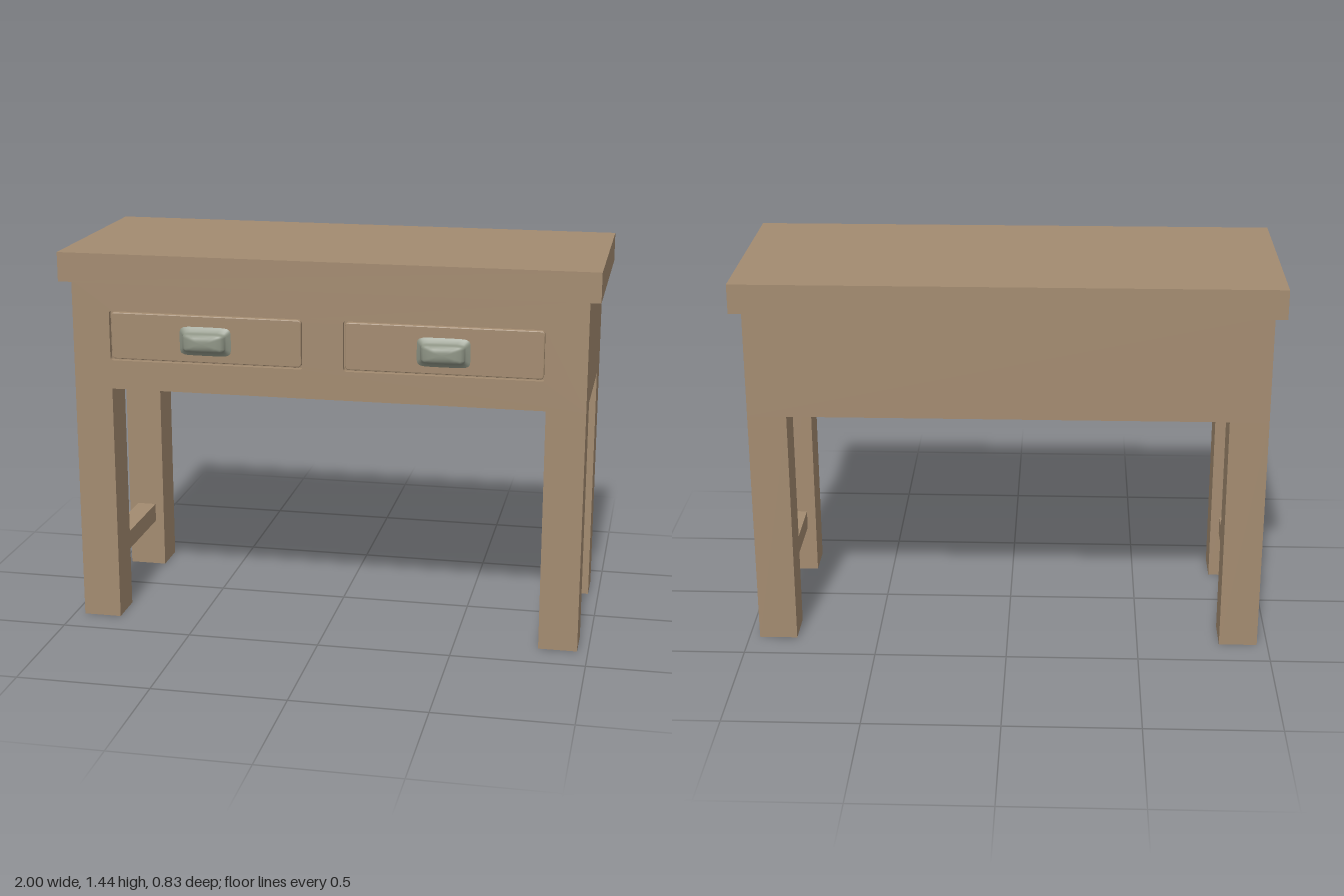
import * as THREE from 'three';

const wood = new THREE.MeshStandardMaterial({ color: 0xa38b70 });
const metal = new THREE.MeshStandardMaterial({ color: 0x8f9586 });

// Box given by its min and max corners
function box(name, [x0, y0, z0], [x1, y1, z1]) {
  const mesh = new THREE.Mesh(new THREE.BoxGeometry(x1 - x0, y1 - y0, z1 - z0), wood);
  mesh.name = name;
  mesh.position.set((x0 + x1) / 2, (y0 + y1) / 2, (z0 + z1) / 2);
  return mesh;
}

// Rectangle with small rounded corners, as a shape or a hole
function roundRect(path, x0, y0, x1, y1, r) {
  path.moveTo(x0 + r, y0);
  path.lineTo(x1 - r, y0).quadraticCurveTo(x1, y0, x1, y0 + r);
  path.lineTo(x1, y1 - r).quadraticCurveTo(x1, y1, x1 - r, y1);
  path.lineTo(x0 + r, y1).quadraticCurveTo(x0, y1, x0, y1 - r);
  path.lineTo(x0, y0 + r).quadraticCurveTo(x0, y0, x0 + r, y0);
  return path;
}

// Flared pull: rounded-rectangle sections lofted along z
function pullGeometry() {
  const sections = [ // z, half width, half height
    [0, 0.1, 0.057], [0.006, 0.094, 0.049], [0.014, 0.084, 0.039], [0.022, 0.08, 0.034],
    [0.034, 0.078, 0.034], [0.043, 0.068, 0.03], [0.049, 0.05, 0.021], [0.051, 0.03, 0.01], [0.051, 0, 0],
  ];
  const n = 32, positions = [], index = [];
  const power = (v) => Math.sign(v) * Math.abs(v) ** 0.3;
  for (const [z, w, h] of sections) {
    for (let i = 0; i < n; i++) {
      const a = (i / n) * Math.PI * 2;
      positions.push(w * power(Math.cos(a)), h * power(Math.sin(a)), z);
    }
  }
  for (let s = 0; s < sections.length - 1; s++) {
    for (let i = 0; i < n; i++) {
      const a = s * n + i, b = s * n + ((i + 1) % n);
      index.push(a, b, b + n, a, b + n, a + n);
    }
  }
  const geometry = new THREE.BufferGeometry();
  geometry.setAttribute('position', new THREE.Float32BufferAttribute(positions, 3));
  geometry.setIndex(index);
  geometry.computeVertexNormals();
  return geometry;
}

export function createModel() {
  const table = new THREE.Group();
  table.name = 'consoleTable';

  // Top slab and the case below it
  table.add(box('tableTop', [-1, 1.33, -0.417], [1, 1.44, 0.403]));
  table.add(box('case', [-0.96, 0.92, -0.375], [0.96, 1.33, 0.35]));

  // Front frame with two drawer openings
  const frame = new THREE.Shape([
    new THREE.Vector2(-0.96, 0.92), new THREE.Vector2(0.96, 0.92),
    new THREE.Vector2(0.96, 1.33), new THREE.Vector2(-0.96, 1.33),
  ]);
  const drawers = [[-0.818, -0.08], [0.072, 0.81]];
  for (const [x0, x1] of drawers) {
    frame.holes.push(roundRect(new THREE.Path(), x0, 1.03, x1, 1.22, 0.012));
  }
  const frontFrame = new THREE.Mesh(
    new THREE.ExtrudeGeometry(frame, { depth: 0.02, bevelEnabled: false, curveSegments: 4 }), wood);
  frontFrame.name = 'frontFrame';
  frontFrame.position.z = 0.35;
  table.add(frontFrame);

  // Drawer fronts, set in the openings with a narrow gap, each with a pull
  const pullShape = pullGeometry();
  for (const [x0, x1] of drawers) {
    const drawer = new THREE.Group();
    drawer.name = 'drawer';
    const gap = 0.01;
    const shape = roundRect(new THREE.Shape(), x0 + gap, 1.03 + gap, x1 - gap, 1.22 - gap, 0.01);
    const front = new THREE.Mesh(new THREE.ExtrudeGeometry(shape, {
      depth: 0.014, bevelThickness: 0.004, bevelSize: 0.004, bevelSegments: 2, curveSegments: 4,
    }), wood);
    front.name = 'drawerFront';
    front.position.z = 0.35;
    const pull = new THREE.Mesh(pullShape, metal);
    pull.name = 'drawerPull';
    pull.position.set((x0 + x1) / 2, 1.118, 0.366);
    drawer.add(front, pull);
    table.add(drawer);
  }

  // Square legs and a low stretcher at each end
  for (const [side, s] of [['left', 1], ['right', -1]]) {
    const span = (a, b) => (s > 0 ? [a, b] : [-b, -a]);
    const [l0, l1] = span(0.815, 0.96);
    const [r0, r1] = span(0.85, 0.925);
    table.add(box(side + 'FrontLeg', [l0, 0, 0.223], [l1, 0.92, 0.37]));
    table.add(box(side + 'BackLeg', [l0, 0, -0.375], [l1, 0.92, -0.228]));
    table.add(box(side + 'Stretcher', [r0, 0.19, -0.23], [r1, 0.263, 0.225]));
  }
  return table;
}
